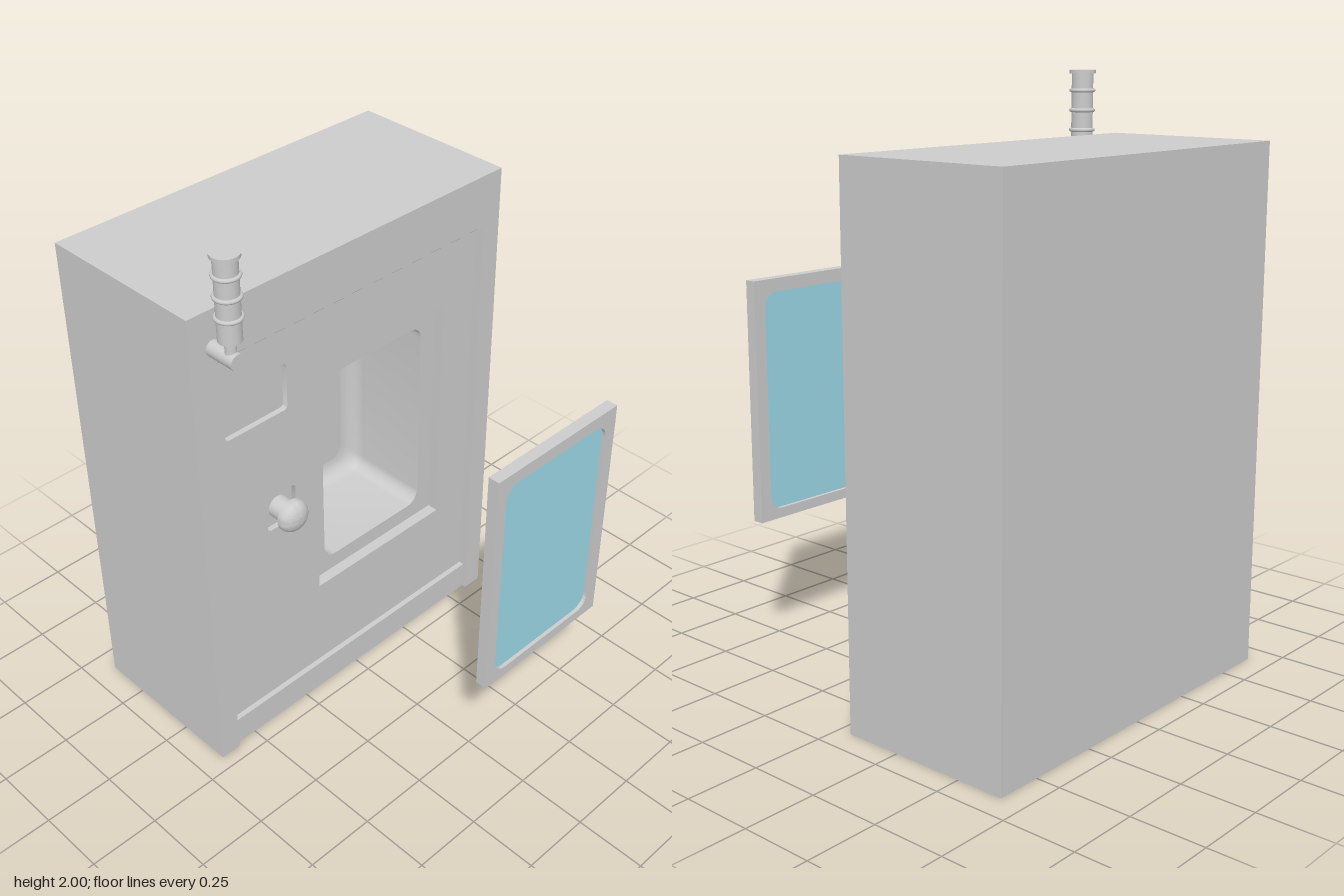
import * as THREE from 'three';
import { toCreasedNormals } from 'three/addons/utils/BufferGeometryUtils.js';

const grey = new THREE.MeshStandardMaterial({ color: 0xcccccc, side: THREE.DoubleSide });
const blue = new THREE.MeshStandardMaterial({ color: 0x9ad8e6, side: THREE.DoubleSide });

// Cabinet extents
const W = 0.66, H = 1.785, BACK = -0.665, FRONT = -0.05;
const PANEL = FRONT - 0.035, KICK = FRONT - 0.015;
const SIDE = 0.585, KICK_TOP = 0.11, PANEL_TOP = 1.57, HEADER = 1.6;

// Openings as [x0, x1, y0, y1, corner radius]
const DISPLAY = [-0.525, -0.27, 1.275, 1.445, 0.015];
const KNOB_PLATE = [-0.375, -0.25, 0.83, 0.965, 0.014];
const DOOR_RECESS = [-0.155, 0.44, 0.455, 1.34, 0];
const WINDOW = [-0.09, 0.375, 0.515, 1.275, 0.05];

function createMesh(parent, name, geometry, material = grey) {
  const mesh = new THREE.Mesh(geometry, material);
  mesh.name = name;
  parent.add(mesh);
  return mesh;
}

// Counter-clockwise rounded rectangle, shrunk by an inset
function outline([x0, x1, y0, y1, r], inset = 0) {
  const [a, b, c, d] = [x0 + inset, x1 - inset, y0 + inset, y1 - inset];
  const corners = [[b, c, -1, 1], [b, d, -1, -1], [a, d, 1, -1], [a, c, 1, 1]];
  const points = [];
  const steps = r ? 6 : 0;
  corners.forEach(([x, y, sx, sy], k) => {
    for (let i = 0; i <= steps; i++) {
      const t = (k - 1 + (steps ? i / steps : 0)) * Math.PI / 2;
      points.push(new THREE.Vector2(x + sx * r + r * Math.cos(t), y + sy * r + r * Math.sin(t)));
    }
  });
  return points;
}

// Flat face with holes, at depth z
function face(points, z, holes = []) {
  const shape = new THREE.Shape(points);
  holes.forEach((h) => shape.holes.push(new THREE.Path(h)));
  return new THREE.ShapeGeometry(shape).translate(0, 0, z);
}

// Inward-facing walls joining outlines given as [inset, z]
function walls(rect, levels) {
  const pos = [], index = [];
  const n = outline(rect).length;
  levels.forEach(([inset, z], k) => {
    outline(rect, inset).forEach((p, i) => {
      pos.push(p.x, p.y, z);
      if (k === 0) return;
      const j = (i + 1) % n, a = (k - 1) * n, b = k * n;
      index.push(a + i, a + j, b + i, a + j, b + j, b + i);
    });
  });
  const g = new THREE.BufferGeometry();
  g.setAttribute('position', new THREE.Float32BufferAttribute(pos, 3));
  g.setIndex(index);
  return toCreasedNormals(g, 0.7);
}

function plane(w, h, rx, ry, x, y, z) {
  return new THREE.PlaneGeometry(w, h).rotateX(rx).rotateY(ry).translate(x, y, z);
}

function addCabinet(root) {
  const g = new THREE.Group();
  g.name = 'cabinet';
  root.add(g);
  const Q = Math.PI / 2, depth = FRONT - BACK, midZ = (FRONT + BACK) / 2;

  // Sheet shell, open underneath
  createMesh(g, 'backWall', plane(2 * W, H, 0, Math.PI, 0, H / 2, BACK));
  createMesh(g, 'topWall', plane(2 * W, depth, -Q, 0, 0, H, midZ));
  for (const s of [-1, 1]) {
    createMesh(g, s > 0 ? 'leftWall' : 'rightWall', plane(depth, H, 0, s * Q, s * W, H / 2, midZ));
    createMesh(g, 'stileReturn', plane(FRONT - PANEL, HEADER, 0, -s * Q, s * SIDE, HEADER / 2, (FRONT + PANEL) / 2));
  }

  // Front surround
  const surround = [[-W, 0], [-SIDE, 0], [-SIDE, HEADER], [SIDE, HEADER], [SIDE, 0], [W, 0], [W, H], [-W, H]];
  createMesh(g, 'frontSurround', face(surround.map((p) => new THREE.Vector2(...p)), FRONT));

  // Sloping underside of the header
  const rise = HEADER - PANEL_TOP, run = FRONT - PANEL;
  createMesh(g, 'headerSlope', plane(2 * SIDE, Math.hypot(rise, run), Math.atan2(run, rise), 0,
    0, (HEADER + PANEL_TOP) / 2, (FRONT + PANEL) / 2));

  // Front panel and kick plate
  createMesh(g, 'frontPanel', face(outline([-SIDE, SIDE, KICK_TOP, PANEL_TOP, 0]), PANEL,
    [DISPLAY, KNOB_PLATE, DOOR_RECESS].map((r) => outline(r))));
  createMesh(g, 'kickPlate', plane(2 * SIDE, KICK_TOP, 0, 0, 0, KICK_TOP / 2, KICK));
  createMesh(g, 'kickLedge', plane(2 * SIDE, KICK - PANEL, -Q, 0, 0, KICK_TOP, (KICK + PANEL) / 2));

  // Shallow recesses
  for (const [name, rect] of [['display', DISPLAY], ['knobPlate', KNOB_PLATE]]) {
    createMesh(g, name + 'Rim', walls(rect, [[0, PANEL], [0, PANEL - 0.02]]));
    createMesh(g, name, face(outline(rect), PANEL - 0.02));
  }
  const seat = PANEL - 0.04;
  createMesh(g, 'doorRecessRim', walls(DOOR_RECESS, [[0, PANEL], [0, seat]]));
  createMesh(g, 'doorRecess', face(outline(DOOR_RECESS), seat, [outline(WINDOW)]));

  // Deep chamber with a filleted back
  const end = seat - 0.34, fillet = 0.06;
  const levels = [[0, seat]];
  for (let i = 0; i <= 6; i++) {
    const t = i / 6 * Q;
    levels.push([fillet * (1 - Math.cos(t)), end + fillet * (1 - Math.sin(t))]);
  }
  createMesh(g, 'chamberWalls', walls(WINDOW, levels));
  createMesh(g, 'chamberBack', face(outline(WINDOW, fillet), end));
}

// Door standing clear of the cabinet
function addDoor(root) {
  const g = new THREE.Group();
  g.name = 'door';
  root.add(g);
  const shape = new THREE.Shape(outline([-0.13, 0.42, 0.48, 1.32, 0]));
  shape.holes.push(new THREE.Path(outline(WINDOW)));
  createMesh(g, 'doorFrame', new THREE.ExtrudeGeometry(shape, { depth: 0.04, bevelEnabled: false }).translate(0, 0, 0.625));
  const pane = new THREE.Shape(outline(WINDOW));
  createMesh(g, 'doorGlass', new THREE.ExtrudeGeometry(pane, { depth: 0.014, bevelEnabled: false }).translate(0, 0, 0.638), blue);
}

function addKnob(root) {
  const g = new THREE.Group();
  g.name = 'knob';
  g.position.set(-0.312, 0.898, -0.042);
  root.add(g);
  createMesh(g, 'knobStem', new THREE.CylinderGeometry(0.04, 0.04, 0.065, 32).rotateX(Math.PI / 2).translate(0, 0, -0.03));
  const profile = [new THREE.Vector2(0, 0), new THREE.Vector2(0.058, 0)];
  for (let i = 0; i <= 12; i++) {
    const t = i / 12 * Math.PI / 2;
    profile.push(new THREE.Vector2(0.058 * Math.cos(t), 0.01 + 0.04 * Math.sin(t)));
  }
  const dome = new THREE.LatheGeometry(profile, 40).rotateX(Math.PI / 2);
  createMesh(g, 'knobDome', toCreasedNormals(dome, 0.7));
}

// Ribbed upright grip on a bracket
function addHandle(root) {
  const g = new THREE.Group();
  g.name = 'handle';
  g.position.set(-0.572, 0, 0.03);
  root.add(g);
  createMesh(g, 'handleBracket', new THREE.CylinderGeometry(0.027, 0.027, 0.11, 28).rotateX(Math.PI / 2).translate(0, 1.657, -0.025));
  createMesh(g, 'handleStem', new THREE.CylinderGeometry(0.018, 0.018, 0.08, 24).translate(0, 1.692, 0));
  createMesh(g, 'handleGrip', new THREE.CylinderGeometry(0.037, 0.037, 0.275, 32).translate(0, 1.8575, 0));
  createMesh(g, 'handleCap', new THREE.CylinderGeometry(0.045, 0.045, 0.012, 32).translate(0, 1.994, 0));
  for (const y of [1.797, 1.864, 1.931]) {
    createMesh(g, 'gripRib', new THREE.TorusGeometry(0.038, 0.007, 10, 32).rotateX(Math.PI / 2).translate(0, y, 0));
  }
}

export function createModel() {
  const root = new THREE.Group();
  root.name = 'dispenserCabinet';
  addCabinet(root);
  addDoor(root);
  addKnob(root);
  addHandle(root);
  return root;
}
